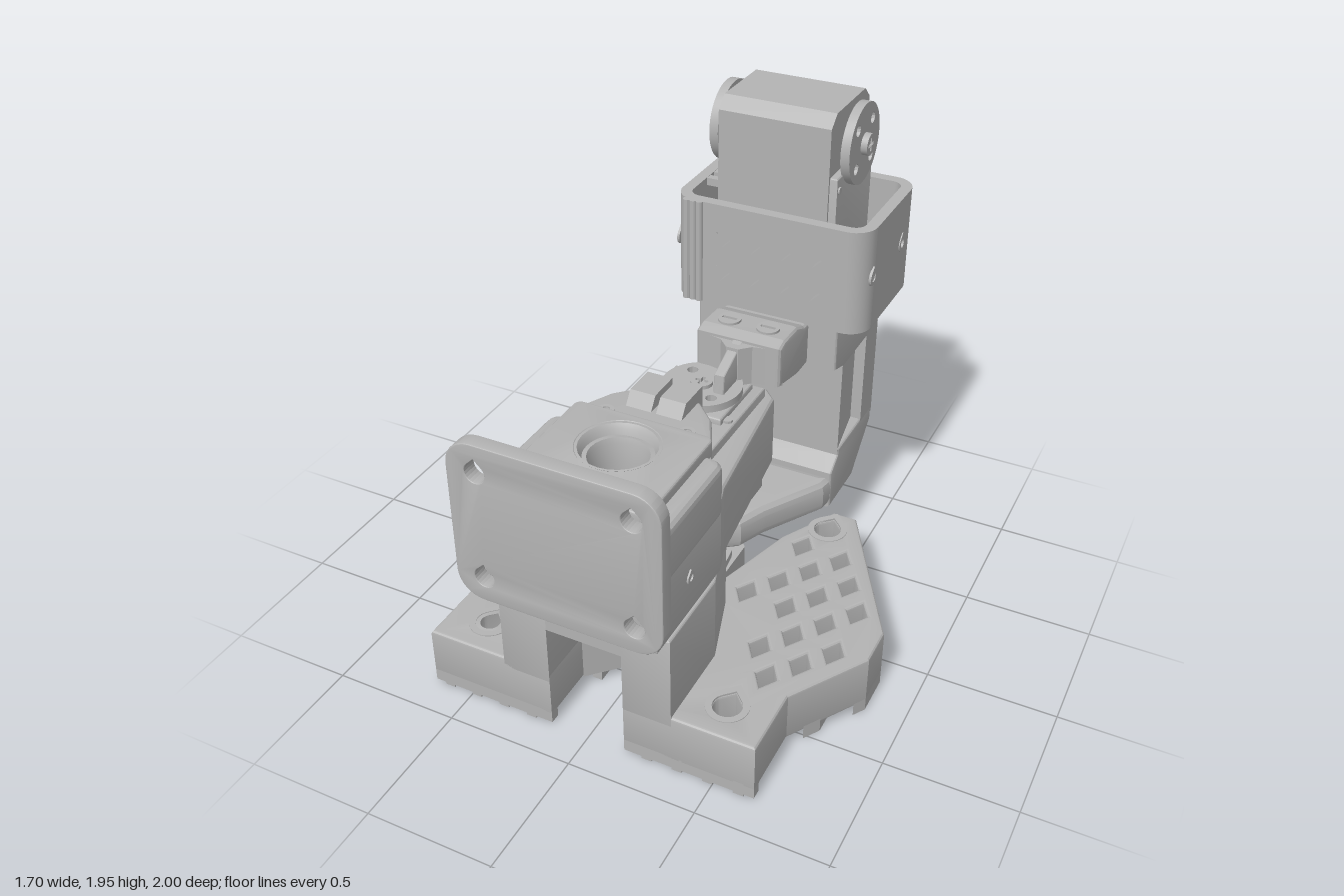
import * as THREE from 'three';
import { toCreasedNormals } from 'three/addons/utils/BufferGeometryUtils.js';

const plastic = new THREE.MeshStandardMaterial({ color: 0xb3b3b3, side: THREE.DoubleSide });
plastic.name = 'grey plastic';

// outline helpers
const circ = (a, b, r, n = 24) => Array.from({ length: n }, (_, i) => {
  const t = (i / n) * Math.PI * 2;
  return [a + r * Math.cos(t), b + r * Math.sin(t)];
});
const diamond = (a, b, w, h) => [[a + w, b], [a, b + h], [a - w, b], [a, b - h]];
const rect = (a0, b0, a1, b1) => [[a0, b0], [a1, b0], [a1, b1], [a0, b1]];
// circle with a pointed top
const teardrop = (a, b, r, up = 1) => [[a, b + up * r * 1.4], ...Array.from({ length: 17 }, (_, i) => {
  const t = Math.PI * (0.75 + i * 1.5 / 16);
  return [a + r * Math.cos(t), b + up * r * Math.sin(t)];
})];
function roundRect(a0, b0, a1, b1, r, n = 7) {
  const out = [];
  [[a1 - r, b1 - r], [a0 + r, b1 - r], [a0 + r, b0 + r], [a1 - r, b0 + r]].forEach(([a, b], k) => {
    for (let i = 0; i <= n; i++) {
      const t = (k + i / n) * Math.PI / 2;
      out.push([a + r * Math.cos(t), b + r * Math.sin(t)]);
    }
  });
  return out;
}
// right half outline, mirrored over x = 0
const both = pts => [...pts, ...pts.filter(p => p[0] !== 0).reverse().map(([x, z]) => [-x, z])];

export function createModel() {
  const root = new THREE.Group();
  root.name = 'robotArm';
  let part = root;
  const group = name => { part = new THREE.Group(); part.name = name; root.add(part); };
  const add = (name, geo) => {
    const m = new THREE.Mesh(geo, plastic);
    m.name = name;
    part.add(m);
    return m;
  };
  // extrude along an axis: y takes (x,z) points, x takes (z,y), z takes (x,y)
  function slab(name, axis, pts, from, to, holes = [], bevel = 0) {
    const map = { x: ([z, y]) => [-z, y], y: ([x, z]) => [x, -z], z: p => p }[axis];
    const vec = list => list.map(p => new THREE.Vector2(...map(p)));
    const shape = new THREE.Shape(vec(pts));
    holes.forEach(h => shape.holes.push(new THREE.Path(vec(h))));
    const g = new THREE.ExtrudeGeometry(shape, {
      depth: to - from - 2 * bevel, bevelEnabled: bevel > 0, bevelSize: bevel,
      bevelThickness: bevel, bevelOffset: -bevel, bevelSegments: 3,
    });
    g.translate(0, 0, from + bevel);
    if (axis === 'y') g.rotateX(-Math.PI / 2);
    if (axis === 'x') g.rotateY(Math.PI / 2);
    return add(name, toCreasedNormals(g, 0.28));
  }
  const box = (name, x0, x1, y0, y1, z0, z1, bevel = 0) =>
    slab(name, 'y', rect(x0, z0, x1, z1), y0, y1, [], bevel);
  // servo horn: disc with four holes and a centre screw
  function horn(name, axis, a, b, r, from, to, capTo) {
    const holes = [0, 1, 2, 3].map(i => {
      const t = Math.PI * (0.25 + i / 2);
      return circ(a + r * 0.68 * Math.cos(t), b + r * 0.68 * Math.sin(t), r * 0.14, 12);
    });
    slab(name, axis, circ(a, b, r, 40), from, to, holes);
    const cross = [[.007, .025], [-.007, .025], [-.007, .007], [-.025, .007], [-.025, -.007], [-.007, -.007],
      [-.007, -.025], [.007, -.025], [.007, -.007], [.025, -.007], [.025, .007], [.007, .007]];
    slab(name + 'Screw', axis, circ(a, b, 0.042), Math.min(from, capTo), Math.max(to, capTo),
      [cross.map(([p, q]) => [a + p, b + q])]);
  }

  // ---- base: two lattice feet with lengthwise ribs below
  group('base');
  const foot = [[.15, .86], [.66, .86], [.66, .58], [.85, .28], [.85, .12], [.51, -.48], [.41, -.48],
    [.28, -.24], [.21, 0], [.15, .2]];
  const inside = ([x, z]) => foot.reduce((c, [x1, z1], i) => {
    const [x2, z2] = foot[(i + 1) % foot.length];
    return (z1 > z) !== (z2 > z) && x < x1 + (z - z1) / (z2 - z1) * (x2 - x1) ? !c : c;
  }, false);
  const mounts = [[.43, -.36], [.49, .72]];
  const lattice = [];
  for (let i = -6; i <= 6; i++) for (let j = -4; j <= 8; j++) {
    const x = .55 + .17 * i + .085 * j, z = -.2 + .02 * i + .13 * j;
    const clear = mounts.every(m => Math.hypot(m[0] - x, m[1] - z) > .13) && !(x < .39 && z > .18);
    if (clear && diamond(x, z, .06, .08).every(inside)) lattice.push(diamond(x, z, .04, .062));
  }
  const clip = (pts, dist) => pts.flatMap((p, i) => {
    const q = pts[(i + 1) % pts.length], a = dist(p), b = dist(q), t = a / (a - b);
    const cut = [p[0] + t * (q[0] - p[0]), p[1] + t * (q[1] - p[1])];
    return [...(a >= 0 ? [p] : []), ...((a >= 0) !== (b >= 0) ? [cut] : [])];
  });
  for (const s of [1, -1]) {
    const side = pts => pts.map(([x, z]) => [s * x, z]);
    slab('foot', 'y', side(foot), .04, .25,
      [...lattice, ...mounts.map(([x, z]) => teardrop(x, z, .052, -1))].map(side), .014);
    mounts.forEach(([x, z]) => slab('mountRim', 'y', side(teardrop(x, z, .08, -1)), .245, .253,
      [side(teardrop(x, z, .055, -1))]));
    for (let i = 0; i < 6; i++) {
      const x = .22 + i * .12;
      const rib = clip(clip(foot, p => p[0] - x), p => x + .04 - p[0]);
      slab('footRib', 'y', side(rib), 0, .06);
    }
    slab('centreRib', 'y', side(rect(.1, -.15, .14, .58)), 0, .06);
    slab('frontLip', 'y', side(rect(.15, .82, .66, .86)), .01, .06);
    slab('leg', 'y', side([[.15, .86], [.34, .86], [.34, .51], [.25, .23], [.15, .23]]), .2, .6, [], .01);
  }
  slab('centreBlock', 'y', both([[0, .48], [.15, .63], [.18, .2], [.15, -.04]]), .04, .272);
  slab('centreTail', 'y', both([[.17, .1], [.17, -.12], [.1, -.2]]), .04, .24);
  slab('crossbar', 'x', [[.86, .46], [.86, .6], [.68, .6], [.68, .5]], -.16, .16);

  // ---- horizontal link with funnel and end plate
  group('forearm');
  slab('armShell', 'y', both([[.33, .93], [.33, .45], [.3, .36], [.225, -.24], [.17, -.295]]), .59, .9,
    [circ(0, .57, .1)], .02);
  slab('armBlock', 'y', roundRect(-.34, .43, .34, .93, .05), .85, 1.07, [circ(0, .57, .14)], .03);
  slab('armCap', 'y', roundRect(-.27, .38, .27, .87, .03), 1.04, 1.11, [circ(0, .57, .15)], .01);
  slab('capNose', 'y', both([[.27, .41], [.25, .36], [.2, .26], [.12, .18], [.06, .15]]), .9, 1.09, [], .015);
  for (const x of [-.11, .01])
    slab('capTongue', 'x', [[.35, 1.04], [.28, 1.14], [.15, 1.14], [.15, 1.0], [.35, 1.0]], x, x + .1);
  const funnel = [[.1, .6], [.1, .88], [.105, .97], [.115, 1.04], [.132, 1.09], [.152, 1.112]];
  add('funnel', new THREE.LatheGeometry(funnel.map(p => new THREE.Vector2(...p)), 40)).position.z = .57;
  for (const s of [1, -1]) {
    slab('sideScrew', 'x', teardrop(.69, .75, .025), s > 0 ? .325 : -.336, s > 0 ? .336 : -.325, [circ(.69, .75, .014, 12)]);
    slab('capScrew', 'y', circ(s * .16, .37, .03), 1.08, 1.095, [circ(s * .16, .37, .015, 12)]);
  }
  slab('endPlate', 'z', roundRect(-.395, .65, .39, 1.29, .1), .94, 1,
    [-1, 1].flatMap(s => [.75, 1.18].map(y => teardrop(s * .285, y, .038))), .005);
  box('plateJoint', -.14, .14, .7, 1.1, .86, .95);

  // ---- elbow servo, axis vertical
  group('elbowServo');
  box('servoBody', -.19, .19, .47, .94, -.23, .3, .01);
  box('servoTop', -.15, .15, .92, .965, -.2, .08, .01);
  horn('upperHorn', 'y', 0, -.07, .155, .965, .995, 1.01);
  horn('lowerHorn', 'y', 0, -.07, .155, .44, .468, .41);
  for (const s of [-1, 1]) slab('servoScrew', 'y', circ(s * .16, .04, .02, 12), .93, .95);
  slab('servoPin', 'y', circ(0, .14, .015, 12), .42, .48);
  for (let i = 0; i < 8; i++) box('connectorTooth', -.14 + i * .036, -.12 + i * .036, .45, .48, .2, .29);

  // ---- C-shaped upright bracket, offset to the left
  group('bracket');
  const cx = .085, hw = .295;
  slab('lowerColumn', 'x', [[-.95, .5], [-.95, .43], [-.76, .25], [-.5, .25], [-.5, .42], [-.57, .47], [-.57, .5]],
    cx - hw, cx + hw, [], .012);
  slab('middleColumn', 'y', [[-hw, -.95], [hw, -.95], [hw, -.82], [.25, -.82], [.29, -.57],
    [-.29, -.57], [-.25, -.82], [-hw, -.82]].map(([x, z]) => [x + cx, z]), .47, .92);
  slab('upperColumn', 'x', [[-.95, .9], [-.95, 1.14], [-.47, 1.14], [-.47, .93], [-.57, .9]], cx - hw, cx + hw, [], .012);
  slab('lowerArm', 'y', [[-.21, -.52], [.38, -.52], [.37, -.45], [.22, -.2], [.17, -.08], [.1, -.03],
    [-.05, -.03], [-.12, -.08], [-.15, -.2], [-.2, -.45]], .25, .4, [], .045);
  slab('upperArm', 'x', [[-.5, .93], [-.38, .93], [-.2, .97], [-.2, 1.14], [-.25, 1.155], [-.37, 1.15], [-.44, 1.12], [-.5, 1.12]],
    cx - .175, cx + .175, [], .02);
  slab('upperArmNeck', 'y', [[-.09, -.23], [.26, -.23], [.25, -.21], [.15, -.19], [.11, -.15], [.06, -.15], [.02, -.19], [-.08, -.21]],
    .97, 1.13);
  slab('upperArmRib', 'x', [[-.22, .97], [-.22, 1.14], [-.18, 1.13], [-.04, 1.07], [-.03, .97]], cx - .022, cx + .022, [], .008);
  for (const x of [.005, .165]) slab('armBolt', 'y', circ(x, -.3, .045), 1.14, 1.163, [rect(x - .03, -.307, x + .03, -.293)]);
  for (const x of [-.1, .27]) for (const y of [.6, 1.0]) slab('backScrew', 'z', circ(x, y, .012, 10), -.952, -.945);

  // ---- open head tray with pierced walls
  group('headTray');
  const [x0, x1, z0, z1, y0, y1, w, r] = [-.315, .485, -1, -.455, 1.115, 1.54, .045, .09];
  const diamonds = [1.26, 1.4].flatMap(y => [-.11, .015, .14, .265].map(x => diamond(x, y, .04, .04)));
  slab('frontWall', 'z', rect(x0 + r, y0, x1 - r, y1), z1 - w, z1, diamonds);
  slab('backWall', 'z', rect(x0 + r, y0, x1 - r, y1), z0, z0 + w, diamonds);
  for (const [x, rim] of [[x0, x0 - .004], [x1 - w, x1 - .006]]) {
    slab('sideWall', 'x', rect(z0 + r, y0, z1 - r, y1), x, x + w, [circ(-.845, 1.34, .025, 16)]);
    for (const z of [-.53, -.845]) slab('boreRim', 'x', teardrop(z, 1.34, .033), rim, rim + .01, [circ(z, 1.34, .018, 12)]);
  }
  [[x1 - r, z1 - r], [x0 + r, z1 - r], [x0 + r, z0 + r], [x1 - r, z0 + r]].forEach(([x, z], k) => {
    const arc = rad => Array.from({ length: 9 }, (_, i) => {
      const t = (k + i / 8) * Math.PI / 2;
      return [x + rad * Math.cos(t), z + rad * Math.sin(t)];
    });
    slab('trayCorner', 'y', [...arc(r), ...arc(r - w).reverse()], y0, y1);
  });
  slab('trayFloor', 'y', roundRect(x0 + .01, z0 + .01, x1 - .01, z1 - .01, r), y0, y0 + .04);
  for (let i = 0; i < 3; i++) slab('cableRidge', 'y', circ(-.255 + i * .027, z1, .015, 12), y0, y1);

  // ---- head servo, axis left to right
  group('headServo');
  slab('headBody', 'x', [[-.5, 1.2], [-.5, 1.9], [-.55, 1.945], [-.83, 1.945], [-.88, 1.9], [-.88, 1.2]], -.145, .3);
  box('headFlange', -.145, .33, 1.15, 1.71, -.87, -.51, .008);
  slab('headShaft', 'x', circ(-.69, 1.79, .06), -.18, .34);
  horn('leftHorn', 'x', -.69, 1.79, .155, .325, .36, .385);
  horn('rightHorn', 'x', -.69, 1.79, .155, -.2, -.165, -.21);
  for (const z of [-.53, -.85]) slab('flangeScrew', 'x', circ(z, 1.66, .014, 10), .325, .336);
  for (let i = 0; i < 5; i++) box('plugTooth', -.22, -.14, 1.56, 1.59, -.83 + i * .06, -.8 + i * .06);

  return root;
}
